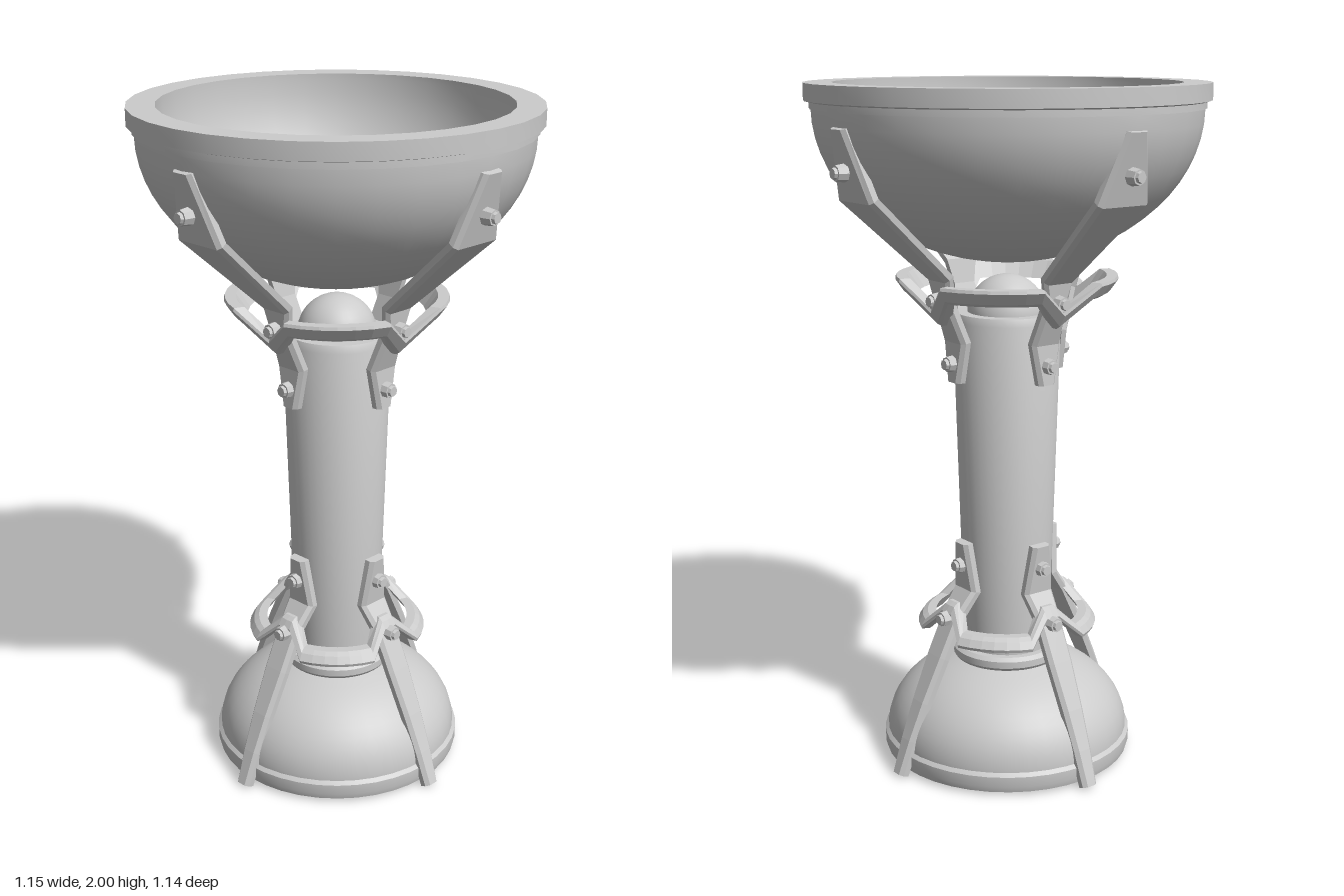
import * as THREE from 'three';
import { toCreasedNormals } from 'three/addons/utils/BufferGeometryUtils.js';

const smooth = new THREE.MeshStandardMaterial({ color: 0xcccccc });
const faceted = new THREE.MeshStandardMaterial({ color: 0xcccccc, flatShading: true });

// Turned part from a profile of [radius, height], listed so the outside runs upwards
function turned(name, profile, segments) {
  const points = profile.map(([r, y]) => new THREE.Vector2(r, y));
  const mesh = new THREE.Mesh(toCreasedNormals(new THREE.LatheGeometry(points, segments), 0.5), smooth);
  mesh.name = name;
  return mesh;
}

// Points along a quarter ellipse
function quarter(a, b, y, from, to, steps) {
  return Array.from({ length: steps + 1 }, (_, i) => {
    const t = from + (to - from) * i / steps;
    return [a * Math.cos(t), y + b * Math.sin(t)];
  });
}

// Skin over a row of equal cross-sections, either capped or joined end to end
function loft(sections, closed) {
  const n = sections[0].length, index = [];
  const count = closed ? sections.length : sections.length - 1;
  for (let i = 0; i < count; i++) {
    const k = (i + 1) % sections.length;
    for (let j = 0; j < n; j++) {
      const a = i * n + j, b = i * n + (j + 1) % n, c = k * n + (j + 1) % n, d = k * n + j;
      index.push(a, b, c, a, c, d);
    }
  }
  if (!closed) {
    const top = (sections.length - 1) * n;
    for (let j = 1; j < n - 1; j++) index.push(0, j + 1, j, top, top + j, top + j + 1);
  }
  const geometry = new THREE.BufferGeometry();
  geometry.setAttribute('position', new THREE.Float32BufferAttribute(sections.flat(2), 3));
  geometry.setIndex(index);
  const flat = geometry.toNonIndexed();
  flat.computeVertexNormals();
  return flat;
}

// Bent strap with bevelled outer edges; path of [radius, height, half width]
function strapGeometry(path, t = 0.028, bevel = 0.011) {
  return loft(path.map(([r, y, w], i) => {
    const p = path[Math.max(i - 1, 0)], q = path[Math.min(i + 1, path.length - 1)];
    const dir = new THREE.Vector2(q[0] - p[0], q[1] - p[1]).normalize();
    const section = [[-w, -t], [w, -t], [w, -bevel], [w - bevel, 0], [bevel - w, 0], [-w, -bevel]];
    return section.map(([s, n]) => [r + dir.y * n, y - dir.x * n, s]);
  }), false);
}

// Sloped band around the stem that kinks up or down at each strap
function bandGeometry({ radius, y, height, thick, slope, kinks }) {
  const sections = [];
  const h = height / 2, b = 0.009;
  const corners = [[-thick, -h], [-b, -h], [0, -h + b], [0, h - b], [-b, h], [-thick, h]];
  for (let q = 0; q < 4; q++) {
    const last = kinks[kinks.length - 1][0];
    const stops = [...kinks.slice(1).map(([a, dy]) => [-a, dy]).reverse(), ...kinks];
    for (let i = 1; i < 6; i++) stops.push([last + (Math.PI / 2 - 2 * last) * i / 6, 0]);
    for (const [a, dy] of stops) {
      const angle = a + q * Math.PI / 2;
      sections.push(corners.map(([n, v]) => {
        const r = radius + n + slope * (dy + v);
        return [r * Math.cos(angle), y + dy + v, r * Math.sin(angle)];
      }));
    }
  }
  return loft(sections, true);
}

// Bolt head pointing outwards along +x
function bolt(r, y) {
  const group = new THREE.Group();
  group.name = 'bolt';
  for (const [radius, length, x] of [[0.025, 0.03, 0], [0.017, 0.012, 0.018]]) {
    const head = new THREE.Mesh(new THREE.CylinderGeometry(radius * 0.85, radius, length, 8), faceted);
    head.rotation.z = -Math.PI / 2;
    head.position.x = x;
    group.add(head);
  }
  group.position.set(r, y, 0);
  return group;
}

export function createModel() {
  const model = new THREE.Group();
  model.name = 'bowlOnStand';
  const half = Math.PI / 2;

  // Bowl with a thick rim
  const bowl = turned('bowl', [
    ...quarter(0.55, 0.43, 1.93, -half, 0, 16),
    [0.555, 1.93], [0.555, 1.948], [0.57, 1.952], [0.57, 2], [0.49, 2],
    ...quarter(0.49, 0.44, 1.985, 0, -half, 16),
  ], 32);
  bowl.position.x = -0.004;
  model.add(bowl);

  // Domed foot, collar and tapered stem
  model.add(turned('foot', [
    [0, 0.012], [0.37, 0.012], [0.375, 0.03], [0.375, 0.06], [0.365, 0.07],
    ...quarter(0.365, 0.25, 0.07, 0.05, 1.13, 10),
    [0.162, 0.305], [0.162, 0.325], [0.15, 0.335], [0, 0.335],
  ], 40));
  model.add(turned('stem', [
    [0, 0.32], [0.13, 0.32], [0.13, 0.4], [0.157, 1.33], [0.148, 1.352], [0, 1.352],
  ], 40));
  const knob = new THREE.Mesh(new THREE.SphereGeometry(0.115, 32, 20), smooth);
  knob.name = 'knob';
  knob.position.y = 1.345;
  model.add(knob);

  // Four upper straps holding the bowl, four lower straps forming legs
  const upper = strapGeometry([
    [0.197, 1.165, 0.028], [0.192, 1.28, 0.05], [0.237, 1.40, 0.036],
    [0.245, 1.46, 0.052], [0.508, 1.695, 0.086], [0.56, 1.888, 0.035],
  ]);
  const lower = strapGeometry([
    [0.41, 0.01, 0.025], [0.375, 0.11, 0.03], [0.33, 0.22, 0.035], [0.27, 0.35, 0.041],
    [0.208, 0.475, 0.042], [0.162, 0.535, 0.05], [0.176, 0.678, 0.03],
  ]);
  for (let i = 0; i < 4; i++) {
    const side = new THREE.Group();
    side.name = 'strapPair' + (i + 1);
    const upperStrap = new THREE.Mesh(upper, faceted);
    upperStrap.name = 'upperStrap';
    const lowerStrap = new THREE.Mesh(lower, faceted);
    lowerStrap.name = 'lowerStrap';
    side.add(upperStrap, lowerStrap);
    for (const [r, y] of [[0.548, 1.775], [0.25, 1.405], [0.2, 1.22], [0.172, 0.61], [0.228, 0.455]]) {
      side.add(bolt(r, y));
    }
    side.rotation.y = i * half;
    model.add(side);
  }

  // Bands tying the straps together
  const upperBand = new THREE.Mesh(bandGeometry({
    radius: 0.31, y: 1.435, height: 0.05, thick: 0.04, slope: 0.7,
    kinks: [[0, -0.078], [0.32, 0]],
  }), faceted);
  upperBand.name = 'upperBand';
  const lowerBand = new THREE.Mesh(bandGeometry({
    radius: 0.262, y: 0.417, height: 0.038, thick: 0.035, slope: -0.65,
    kinks: [[0, 0.066], [0.1, 0.066], [0.36, 0]],
  }), faceted);
  lowerBand.name = 'lowerBand';
  model.add(upperBand, lowerBand);
  return model;
}
